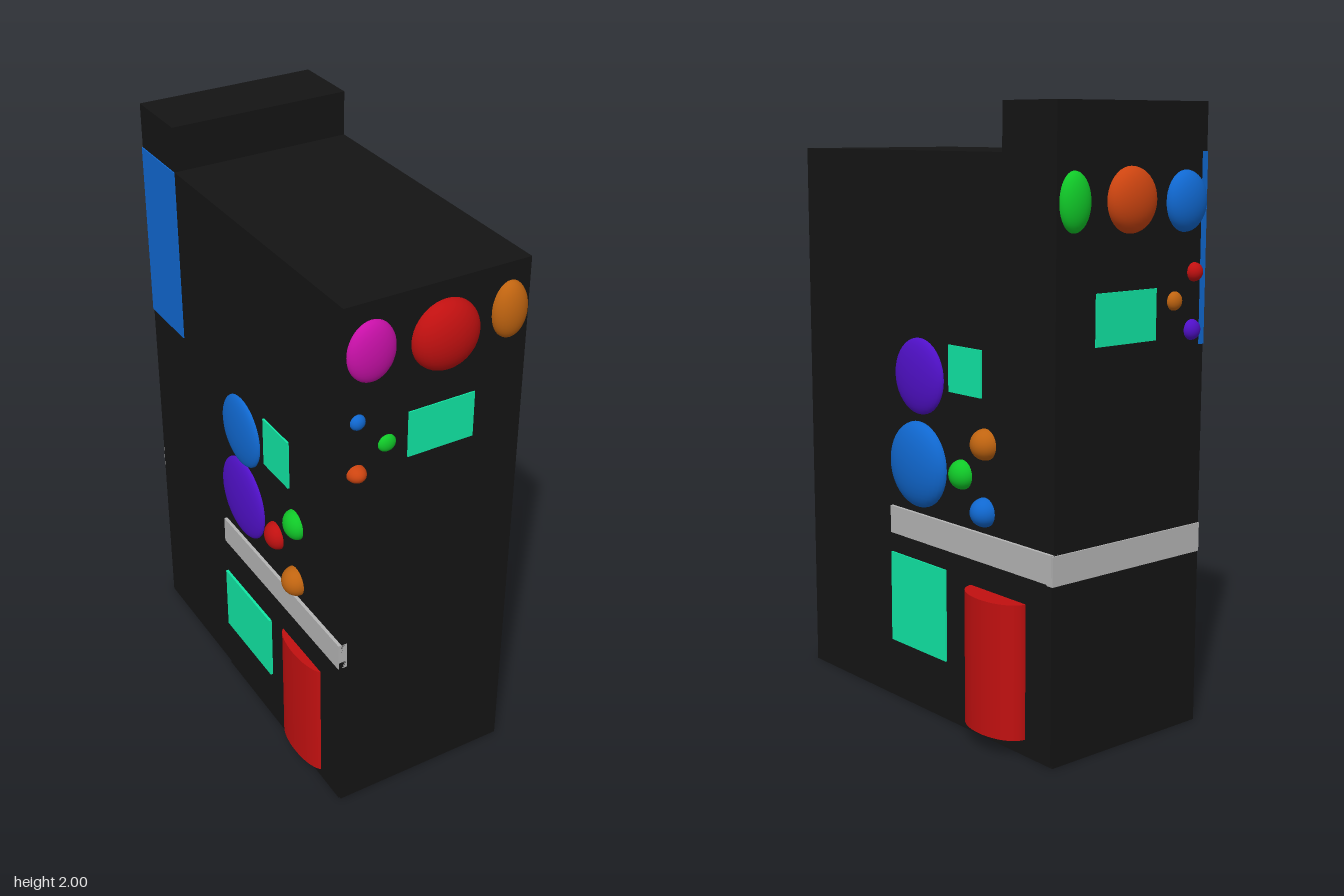
import * as THREE from 'three';

const COLORS = {
  black: 0x141414, grey: 0xb4b4b4, teal: 0x10e6a4, red: 0xc01010, blue: 0x1068d0,
  purple: 0x5010c8, orange: 0xc06410, rust: 0xcc4410, green: 0x10c828, magenta: 0xc810a8,
};
const materials = {};
for (const key in COLORS) materials[key] = new THREE.MeshStandardMaterial({ color: COLORS[key] });

const LEFT = 0.29, RIGHT = -0.335, FRONT = 0.635, BACK = -0.65;

export function createModel() {
  const group = new THREE.Group();

  const add = (name, geometry, color, x = 0, y = 0, z = 0) => {
    const mesh = new THREE.Mesh(geometry, materials[color]);
    mesh.name = name;
    mesh.position.set(x, y, z);
    group.add(mesh);
    return mesh;
  };
  // Box given by its limits on each axis
  const box = (name, color, [x0, x1], [y0, y1], [z0, z1]) =>
    add(name, new THREE.BoxGeometry(x1 - x0, y1 - y0, z1 - z0), color,
      (x0 + x1) / 2, (y0 + y1) / 2, (z0 + z1) / 2);
  // Flattened sphere set into a wall
  const knob = (name, color, position, radii) =>
    add(name, new THREE.SphereGeometry(1, 32, 20), color, ...position).scale.set(...radii);

  // Cabinet: side profile with the raised block at the back
  const profile = new THREE.Shape([
    [FRONT, 0], [FRONT, 1.85], [-0.41, 1.85], [-0.41, 2], [BACK, 2], [BACK, 0],
  ].map(([z, y]) => new THREE.Vector2(-z, y)));
  const cabinet = new THREE.ExtrudeGeometry(profile, { depth: LEFT - RIGHT, bevelEnabled: false });
  cabinet.rotateY(Math.PI / 2);
  add('cabinet', cabinet, 'black', RIGHT);

  // Lower side panels, trim strips and the blue side plate
  box('leftLowerPanel', 'black', [LEFT - 0.02, 0.299], [0.01, 0.6], [BACK, 0.155]);
  box('rightLowerPanel', 'black', [-0.344, RIGHT + 0.02], [0.01, 0.6], [-0.14, FRONT]);
  box('leftStrip', 'grey', [LEFT - 0.02, 0.301], [0.58, 0.673], [BACK, 0.155]);
  box('rightStrip', 'grey', [-0.346, RIGHT + 0.02], [0.575, 0.67], [-0.14, FRONT]);
  box('backStrip', 'grey', [-0.334, 0.3], [0.576, 0.67], [BACK - 0.005, BACK + 0.02]);
  box('rightPlate', 'blue', [-0.339, RIGHT + 0.02], [1.25, 1.85], [BACK, -0.41]);

  // Teal screens
  box('frontScreen', 'teal', [-0.115, 0.115], [1.3, 1.455], [FRONT - 0.02, FRONT + 0.004]);
  box('backScreen', 'teal', [-0.12, 0.132], [1.28, 1.44], [BACK - 0.004, BACK + 0.02]);
  box('leftUpperScreen', 'teal', [LEFT - 0.02, 0.296], [1.1, 1.25], [-0.315, -0.155]);
  box('leftLowerScreen', 'teal', [LEFT - 0.02, 0.304], [0.205, 0.515], [-0.145, 0.15]);
  box('rightUpperScreen', 'teal', [-0.341, RIGHT + 0.02], [1.07, 1.24], [0.157, 0.316]);
  box('rightLowerScreen', 'teal', [-0.353, RIGHT + 0.02], [0.21, 0.45], [-0.13, 0.19]);

  // Upright drums on both sides
  for (const [name, x, y0, y1, z, rx, rz] of [
    ['leftDrum', 0.3, 0.06, 0.495, -0.402, 0.077, 0.132],
    ['rightDrum', -0.335, 0.04, 0.475, 0.395, 0.041, 0.128],
  ]) {
    const drum = add(name, new THREE.CylinderGeometry(1, 1, y1 - y0, 40), 'red', x, (y0 + y1) / 2, z);
    drum.scale.set(rx, 1, rz);
  }

  // Front and back knobs: colour, x, y, x radius, y radius, bulge
  [
    ['magenta', -0.245, 1.695, 0.08, 0.098, 0.037], ['red', 0, 1.68, 0.113, 0.113, 0.066],
    ['orange', 0.22, 1.7, 0.06, 0.092, 0.043], ['blue', -0.287, 1.475, 0.025, 0.025, 0.02],
    ['green', -0.187, 1.373, 0.03, 0.028, 0.017], ['rust', -0.291, 1.302, 0.031, 0.027, 0.037],
  ].forEach(([c, x, y, rx, ry, b]) => knob('frontKnob', c, [x, y, FRONT], [rx, ry, b]));
  [
    ['blue', -0.242, 1.7, 0.083, 0.095, 0.047], ['rust', -0.007, 1.71, 0.097, 0.1, 0.054],
    ['green', 0.222, 1.71, 0.058, 0.09, 0.038], ['red', -0.287, 1.48, 0.03, 0.03, 0.028],
    ['orange', -0.2, 1.395, 0.03, 0.03, 0.022], ['purple', -0.28, 1.3, 0.033, 0.033, 0.026],
  ].forEach(([c, x, y, rx, ry, b]) => knob('backKnob', c, [x, y, BACK], [rx, ry, b]));

  // Side knobs: colour, y, z, radius, bulge
  [
    ['purple', 1.13, 0, 0.125, 0.035], ['blue', 0.838, 0.005, 0.143, 0.055],
    ['orange', 0.958, -0.333, 0.05, 0.05], ['green', 0.843, -0.218, 0.048, 0.044],
    ['blue', 0.742, -0.33, 0.047, 0.05],
  ].forEach(([c, y, z, r, b]) => knob('leftKnob', c, [LEFT, y, z], [b, r, r]));
  [
    ['blue', 1.105, 0, 0.125, 0.028], ['purple', 0.842, 0, 0.145, 0.029],
    ['green', 0.953, 0.35, 0.05, 0.038], ['red', 0.828, 0.222, 0.048, 0.038],
    ['orange', 0.73, 0.35, 0.05, 0.048],
  ].forEach(([c, y, z, r, b]) => knob('rightKnob', c, [RIGHT, y, z], [b, r, r]));

  return group;
}
